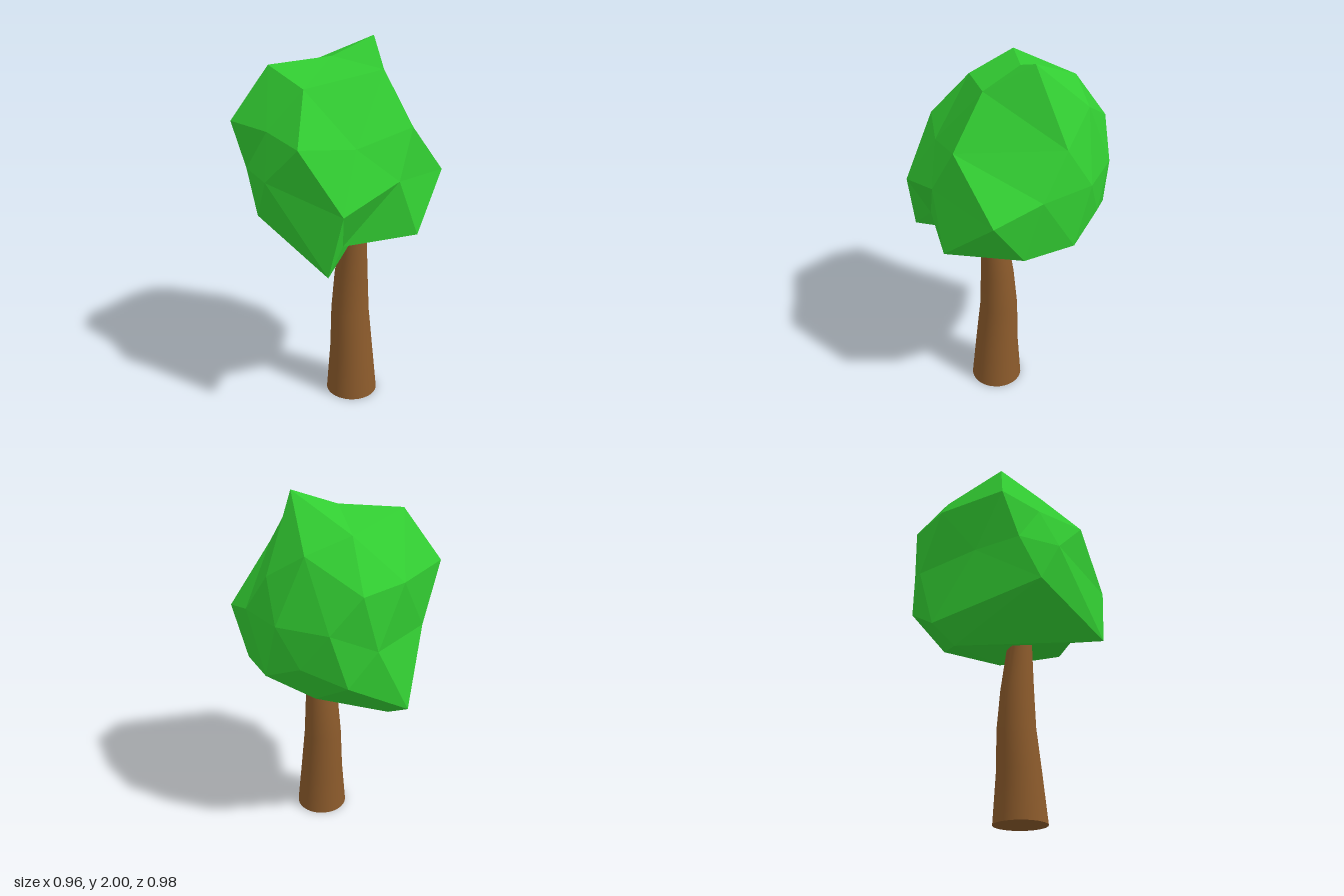
import * as THREE from 'three';
import { toCreasedNormals } from 'three/addons/utils/BufferGeometryUtils.js';
import { ConvexGeometry } from 'three/addons/geometries/ConvexGeometry.js';

// Corners of the faceted crown, from the top down
const CROWN = [
  [0.25, 2.0, 0.02], [0.02, 1.91, -0.04], [-0.28, 1.88, -0.18], [0.11, 1.84, -0.31],
  [0.13, 1.87, 0.235], [-0.265, 1.8, 0.095], [0.33, 1.76, -0.24],
  [0.435, 1.62, -0.05], [0.165, 1.61, 0.42], [-0.1, 1.61, -0.45], [0.155, 1.6, -0.477],
  [-0.455, 1.6, -0.28], [-0.41, 1.59, -0.02], [-0.42, 1.56, 0.25], [-0.15, 1.54, 0.36],
  [0.478, 1.4, 0.11], [0.465, 1.41, -0.18], [0.3, 1.41, -0.41], [-0.44, 1.37, -0.17],
  [-0.48, 1.36, 0.055], [0.03, 1.37, 0.477], [0.445, 1.32, 0.365], [0.07, 1.3, -0.485],
  [-0.3, 1.3, -0.35], [-0.315, 1.26, 0.465], [0.39, 1.2, -0.28], [-0.46, 1.15, -0.05],
  [0.22, 1.12, -0.45], [0.478, 1.1, -0.08], [0.44, 1.08, 0.19], [0.155, 1.06, 0.49],
  [-0.24, 1.06, 0.37], [0.03, 1.01, 0.17], [0.27, 0.97, -0.22], [0.23, 0.95, 0.12],
  [-0.365, 0.94, 0.41], [-0.12, 0.92, -0.492], [-0.1, 0.835, -0.35],
];

// Trunk rings: height, centre z, radius
const TRUNK = [
  [0, 0.125, 0.144], [0.27, 0.119, 0.121], [0.51, 0.105, 0.106],
  [0.73, 0.112, 0.092], [1.03, 0.133, 0.067],
];

// Joins the corners as seen from the crown's middle, which allows shallow hollows
function crownGeometry() {
  const centre = new THREE.Vector3(0, 1.4, 0);
  const corners = CROWN.map((p) => new THREE.Vector3(...p));
  const directions = corners.map((p) => p.clone().sub(centre).normalize());
  const geometry = new ConvexGeometry(directions);
  const pos = geometry.attributes.position;
  const v = new THREE.Vector3();
  for (let i = 0; i < pos.count; i++) {
    v.fromBufferAttribute(pos, i);
    let best = 0;
    directions.forEach((d, k) => {
      if (d.distanceToSquared(v) < directions[best].distanceToSquared(v)) best = k;
    });
    pos.setXYZ(i, corners[best].x, corners[best].y, corners[best].z);
  }
  geometry.computeVertexNormals();
  return geometry;
}

// Cylinder whose rings follow the bent, tapering trunk
function trunkGeometry() {
  const rows = TRUNK.length - 1;
  const geometry = new THREE.CylinderGeometry(1, 1, 1, 32, rows);
  const pos = geometry.attributes.position;
  for (let i = 0; i < pos.count; i++) {
    const [y, z, r] = TRUNK[Math.round((pos.getY(i) + 0.5) * rows)];
    pos.setXYZ(i, 0.033 + pos.getX(i) * r, y, z + pos.getZ(i) * r);
  }
  return toCreasedNormals(geometry, 0.6);
}

export function createModel() {
  const tree = new THREE.Group();
  tree.name = 'tree';

  const trunk = new THREE.Mesh(trunkGeometry(), new THREE.MeshStandardMaterial({ color: 0x8b5a2b }));
  trunk.name = 'trunk';

  const crown = new THREE.Mesh(
    crownGeometry(),
    new THREE.MeshStandardMaterial({ color: 0x32cd32, flatShading: true }),
  );
  crown.name = 'crown';

  tree.add(trunk, crown);
  return tree;
}
